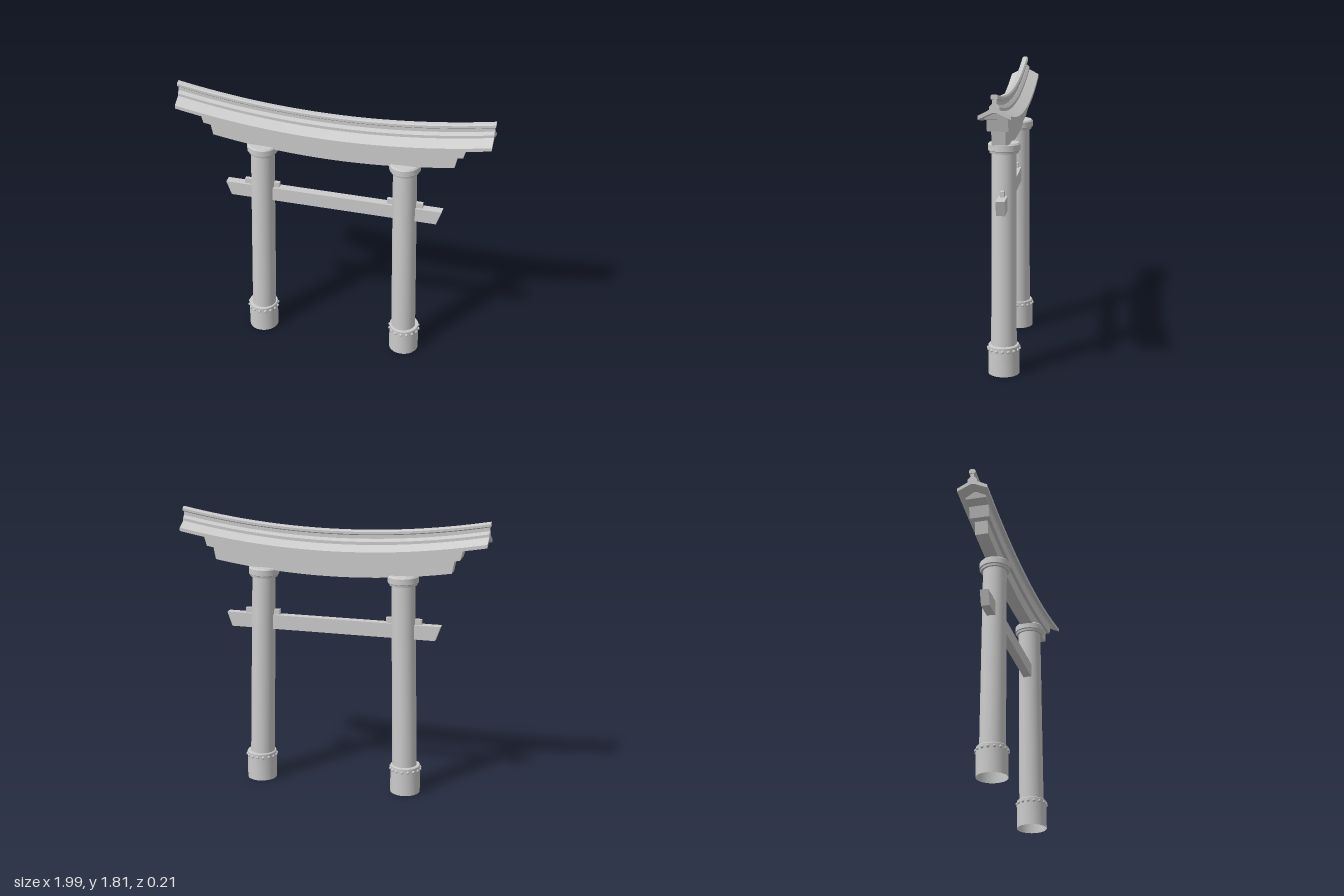
import * as THREE from 'three';
import { toCreasedNormals } from 'three/addons/utils/BufferGeometryUtils.js';

const material = new THREE.MeshStandardMaterial({ color: 0xcccccc });
const openMaterial = new THREE.MeshStandardMaterial({ color: 0xcccccc, side: THREE.DoubleSide });

function add(parent, name, geometry, mat = material) {
  const mesh = new THREE.Mesh(geometry, mat);
  mesh.name = name;
  parent.add(mesh);
  return mesh;
}

// Sweep a mirrored [z, y] half profile along x, raise it towards the ends by
// rise * x^2 and let the ends lean outwards with height.
function beam(half, profile, { rise = 0, lean = 0, steps = 32 } = {}) {
  const mirrored = profile.filter(([z]) => z > 0).reverse().map(([z, y]) => [-z, y]);
  const shape = new THREE.Shape([...profile, ...mirrored].map(([z, y]) => new THREE.Vector2(z, y)));
  const geometry = new THREE.ExtrudeGeometry(shape, { depth: 2 * half, steps, bevelEnabled: false });
  geometry.translate(0, 0, -half).rotateY(Math.PI / 2);
  const base = Math.min(...profile.map(p => p[1]));
  const pos = geometry.attributes.position;
  for (let i = 0; i < pos.count; i++) {
    const y = pos.getY(i);
    const x = pos.getX(i) * (1 + lean * (y - base) / half);
    pos.setXY(i, x, y + rise * x * x);
  }
  return toCreasedNormals(geometry, 0.4);
}

const box = (z, y0, y1) => [[z, y0], [z, y1]];

function createPost(side) {
  const post = new THREE.Group();
  post.name = side > 0 ? 'leftPost' : 'rightPost';

  // Sleeve around the foot, open underneath
  const sleeve = new THREE.LatheGeometry(
    [[0.097, 0], [0.097, 0.183], [0.093, 0.188], [0.075, 0.188]].map(p => new THREE.Vector2(...p)), 24);
  add(post, 'footSleeve', toCreasedNormals(sleeve, 0.6), openMaterial).position.x = side * 0.491;

  // Ring of studs
  const studs = new THREE.Group();
  studs.name = 'studs';
  studs.position.set(side * 0.491, 0.162, 0);
  for (let i = 0; i < 16; i++) {
    const a = i * Math.PI / 8;
    add(studs, 'stud', new THREE.SphereGeometry(0.01, 10, 8))
      .position.set(0.097 * Math.cos(a), 0, 0.097 * Math.sin(a));
  }
  post.add(studs);

  // Shaft and collar lean inwards together
  const leaning = new THREE.Group();
  leaning.name = 'leaningShaft';
  leaning.position.x = side * 0.489;
  leaning.rotation.z = side * 0.0217;
  const shaft = add(leaning, 'shaft', new THREE.CylinderGeometry(0.075, 0.08, 1.3, 32, 1, true), openMaterial);
  shaft.position.y = 0.77;
  const collar = new THREE.LatheGeometry(
    [[0.07, 1.385], [0.088, 1.385], [0.091, 1.398], [0.098, 1.402], [0.098, 1.438], [0.09, 1.448], [0, 1.448]]
      .map(p => new THREE.Vector2(...p)), 32);
  add(leaning, 'collar', toCreasedNormals(collar, 0.5));
  post.add(leaning);

  // Wedge driven through the post on top of the tie beam
  add(post, 'wedge', new THREE.BoxGeometry(0.23, 0.035, 0.024)).position.set(side * 0.467, 1.15, 0);
  return post;
}

export function createModel() {
  const gate = new THREE.Group();
  gate.name = 'gate';
  const body = new THREE.Group();
  body.name = 'gateBody';
  body.position.x = -0.004;
  gate.add(body);

  body.add(createPost(1), createPost(-1));

  // Straight tie beam with slanted ends
  add(body, 'tieBeam', beam(0.672, box(0.027, 1.04, 1.133), { lean: 0.36, steps: 1 }));

  // Curved lintels, each wider than the one below
  add(body, 'lowerLintel', beam(0.77, box(0.041, 1.417, 1.51), { rise: 0.11, lean: 0.2 }));
  add(body, 'middleLintel', beam(0.822, box(0.062, 1.503, 1.58), { rise: 0.1, lean: 0.3 }));
  add(body, 'roofCore', beam(0.91, [[0.065, 1.572], [0.065, 1.588], [0, 1.622]], { rise: 0.098, lean: 0.3 }));

  // Pitched roof shell
  add(body, 'roof', beam(0.992,
    [[0, 1.612], [0.094, 1.568], [0.094, 1.59], [0, 1.64]], { rise: 0.098 }));

  // Ridge: stepped foot, narrow web and rounded cap
  add(body, 'ridgeFoot', beam(0.992, [[0.03, 1.61], [0.03, 1.643], [0.014, 1.66]], { rise: 0.096 }));
  add(body, 'ridgeWeb', beam(0.992, box(0.012, 1.645, 1.695), { rise: 0.096 }));
  add(body, 'ridgeCap', beam(0.997,
    [[0.014, 1.683], [0.02, 1.689], [0.02, 1.704], [0.012, 1.713]], { rise: 0.096 }));
  return gate;
}
